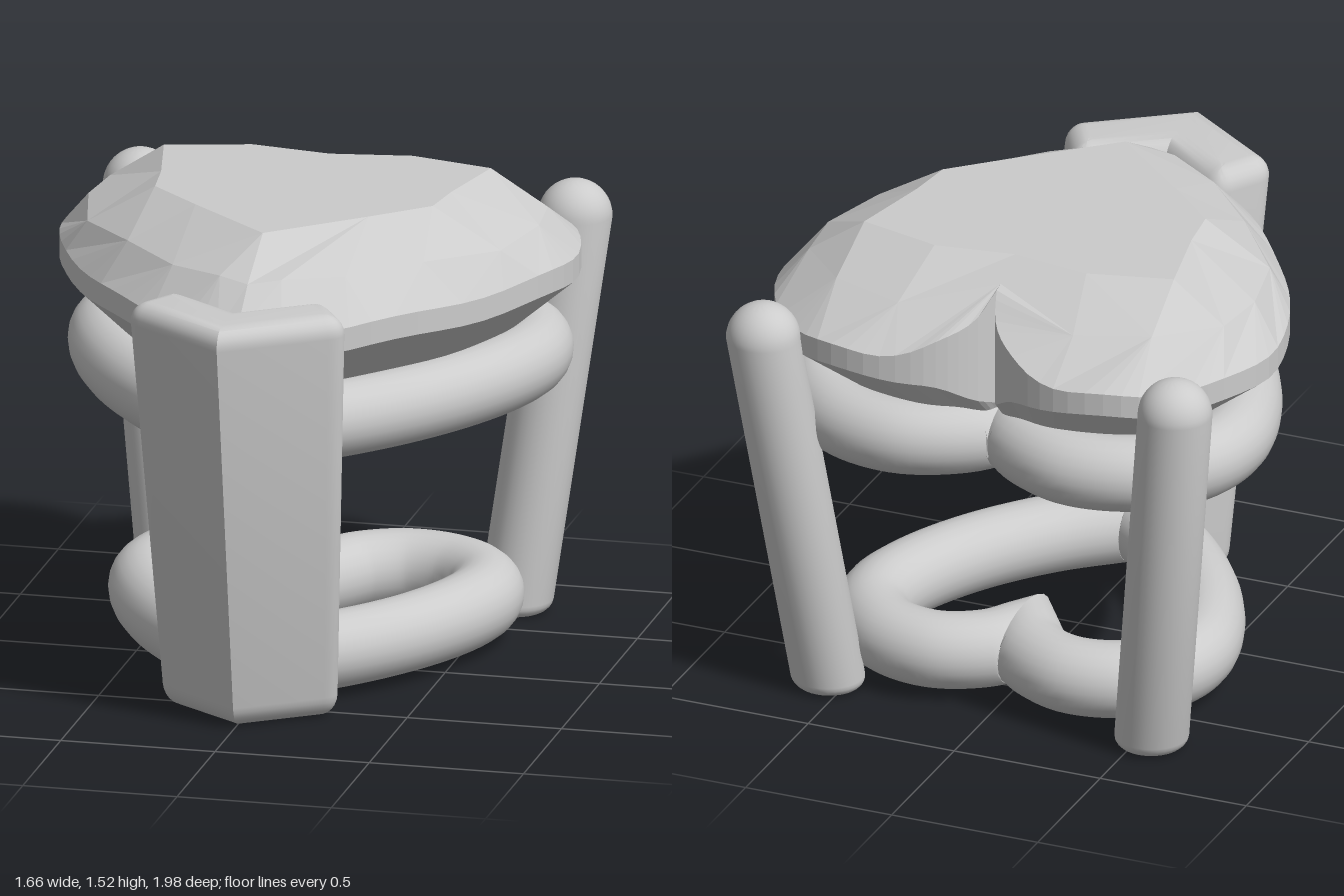
import * as THREE from 'three';
import { toCreasedNormals } from 'three/addons/utils/BufferGeometryUtils.js';

const V = (x, y, z) => new THREE.Vector3(x, y, z);
const metal = new THREE.MeshStandardMaterial({ color: 0xcccccc });
const stone = new THREE.MeshStandardMaterial({ color: 0xcccccc, flatShading: true });

function addMesh(parent, name, geometry, material) {
  const mesh = new THREE.Mesh(geometry, material);
  mesh.name = name;
  parent.add(mesh);
}

// Closed ring from its right half (cleft to tip); t runs 0..1 to the tip and on to 2
function mirrorRing(half) {
  const lengths = [0];
  for (let i = 1; i < half.length; i++) lengths.push(lengths[i - 1] + half[i].distanceTo(half[i - 1]));
  const total = lengths[lengths.length - 1];
  const ring = half.map((p, i) => ({ p, t: lengths[i] / total }));
  for (let i = half.length - 2; i >= 0; i--) {
    ring.push({ p: V(-half[i].x, half[i].y, half[i].z), t: 2 - lengths[i] / total });
  }
  return ring;
}

// Heart-shaped faceted stone: point, girdle, crown and flat table
function stoneGeometry() {
  const outline = new THREE.CatmullRomCurve3([
    [0, -0.66], [0.03, -0.74], [0.1, -0.82], [0.2, -0.88], [0.35, -0.91], [0.52, -0.88], [0.66, -0.79],
    [0.77, -0.64], [0.83, -0.42], [0.8, -0.2], [0.7, 0.04], [0.55, 0.27], [0.38, 0.48], [0.2, 0.64], [0, 0.72],
  ].map(([x, z]) => V(x, 0, z)));
  const low = [], high = [];
  outline.getPoints(42).forEach((p, i) => {
    const cleft = p.x < 0.36 && p.z < -0.6 ? Math.max(0, p.z + 0.91) : 0;
    const wave = 0.006 * Math.cos(i * 0.9);
    low.push(V(p.x, 1.21 - 0.6 * cleft + wave, p.z));
    high.push(V(p.x, 1.285 + 0.68 * cleft + wave, p.z));
  });
  const crown = [
    V(0, 1.47, -0.63), V(0.3, 1.4, -0.75), V(0.54, 1.41, -0.68), V(0.71, 1.4, -0.5), V(0.73, 1.4, -0.3),
    V(0.67, 1.39, -0.04), V(0.48, 1.41, 0.2), V(0.28, 1.41, 0.42), V(0.1, 1.42, 0.53), V(0, 1.41, 0.57),
  ];
  const table = [
    V(0, 1.52, -0.51), V(0.26, 1.52, -0.55), V(0.53, 1.52, -0.48), V(0.47, 1.52, -0.2),
    V(0.45, 1.52, -0.04), V(0.28, 1.52, 0.12), V(0, 1.52, 0.37),
  ];
  const rings = [low, high, crown, table].map(mirrorRing);
  const points = [];

  const bottom = V(0, 0.53, -0.15), top = V(0, 1.52, -0.1);
  for (let i = 0; i < rings[0].length - 1; i++) points.push(bottom, rings[0][i].p, rings[0][i + 1].p);
  for (let r = 0; r < 3; r++) {
    const a = rings[r], b = rings[r + 1];
    let i = 0, j = 0;
    while (i < a.length - 1 || j < b.length - 1) {
      const stepA = j === b.length - 1 || (i < a.length - 1 && a[i + 1].t <= b[j + 1].t);
      points.push(a[i].p, b[j].p, stepA ? a[i + 1].p : b[j + 1].p);
      if (stepA) i++; else j++;
    }
  }
  for (let i = 0; i < rings[3].length - 1; i++) points.push(top, rings[3][i + 1].p, rings[3][i].p);

  const geometry = new THREE.BufferGeometry().setFromPoints(points);
  geometry.computeVertexNormals();
  return geometry;
}

// Half of a heart-shaped round rail, mitred on the plane x = 0 at both ends
function railHalf(y, scaleX, scaleZ, offsetZ, side) {
  const path = new THREE.CatmullRomCurve3([
    [0, -0.52], [0.1, -0.66], [0.29, -0.75], [0.5, -0.71], [0.64, -0.57], [0.68, -0.4],
    [0.64, -0.19], [0.5, 0.1], [0.28, 0.38], [0, 0.62],
  ].map(([x, z]) => V(x * scaleX, y, z * scaleZ + offsetZ)));
  const rings = 72, radial = 24;
  const geometry = new THREE.TubeGeometry(path, rings, 0.123, radial, false);
  const pos = geometry.attributes.position;
  for (let i = 0; i < pos.count; i++) {
    const ring = Math.floor(i / (radial + 1));
    if (ring > 0 && ring < rings && pos.getX(i) >= 0) continue;
    const tangent = path.getTangentAt(ring < rings / 2 ? 0 : 1);
    const p = V().fromBufferAttribute(pos, i);
    p.addScaledVector(tangent, -p.x / tangent.x);
    pos.setXYZ(i, p.x, p.y, p.z);
  }
  if (side < 0) {
    geometry.scale(-1, 1, 1);
    geometry.index.array.reverse();
  }
  return geometry;
}

// V-shaped front prong, leaning forward and widening upward
function frontProngGeometry() {
  const s = new THREE.Shape();
  s.moveTo(0, -0.99);
  s.lineTo(0.31, -0.77);
  s.quadraticCurveTo(0.37, -0.73, 0.335, -0.67);
  s.lineTo(0.28, -0.58);
  s.quadraticCurveTo(0.245, -0.53, 0.19, -0.565);
  s.lineTo(0, -0.7);
  s.lineTo(-0.19, -0.565);
  s.quadraticCurveTo(-0.245, -0.53, -0.28, -0.58);
  s.lineTo(-0.335, -0.67);
  s.quadraticCurveTo(-0.37, -0.73, -0.31, -0.77);
  s.closePath();
  const bevel = 0.07, height = 1.375;
  const geometry = new THREE.ExtrudeGeometry(s, {
    depth: height - 2 * bevel, bevelThickness: bevel, bevelSize: bevel, bevelOffset: -bevel,
    bevelSegments: 6, curveSegments: 8,
  });
  geometry.rotateX(-Math.PI / 2).translate(0, bevel, 0);
  const pos = geometry.attributes.position;
  for (let i = 0; i < pos.count; i++) {
    const t = pos.getY(i) / height, k = 0.8 + 0.2 * t;
    pos.setX(i, pos.getX(i) * k);
    pos.setZ(i, (pos.getZ(i) - 0.76) * k + 0.566 + 0.194 * t);
  }
  return toCreasedNormals(geometry, 0.6);
}

// Round rear prong with a domed top, leaning outward and back
function rearProngGeometry(side) {
  const r = 0.118, shoulder = 1.26, profile = [new THREE.Vector2(0, 0)];
  for (let i = 0; i <= 5; i++) {
    const a = (i / 5) * Math.PI / 2;
    profile.push(new THREE.Vector2(r - 0.04 + 0.04 * Math.sin(a), 0.04 - 0.04 * Math.cos(a)));
  }
  for (let i = 0; i <= 10; i++) {
    const a = (i / 10) * Math.PI / 2;
    profile.push(new THREE.Vector2(i === 10 ? 0 : r * Math.cos(a), shoulder + r * Math.sin(a)));
  }
  const geometry = new THREE.LatheGeometry(profile, 32);
  const pos = geometry.attributes.position;
  for (let i = 0; i < pos.count; i++) {
    const t = Math.min(1, pos.getY(i) / shoulder);
    pos.setX(i, pos.getX(i) + side * (0.55 + 0.155 * t));
    pos.setZ(i, pos.getZ(i) - 0.71 - 0.17 * t);
  }
  return toCreasedNormals(geometry, 0.7);
}

export function createModel() {
  const model = new THREE.Group();
  model.name = 'heartStoneSetting';
  addMesh(model, 'heartStone', stoneGeometry(), stone);
  addMesh(model, 'frontProng', frontProngGeometry(), metal);
  for (const [side, label] of [[1, 'Left'], [-1, 'Right']]) {
    addMesh(model, `rearProng${label}`, rearProngGeometry(side), metal);
    addMesh(model, `upperRail${label}`, railHalf(0.94, 1, 1, 0, side), metal);
    addMesh(model, `lowerRail${label}`, railHalf(0.143, 0.79, 0.8, -0.02, side), metal);
  }
  return model;
}
